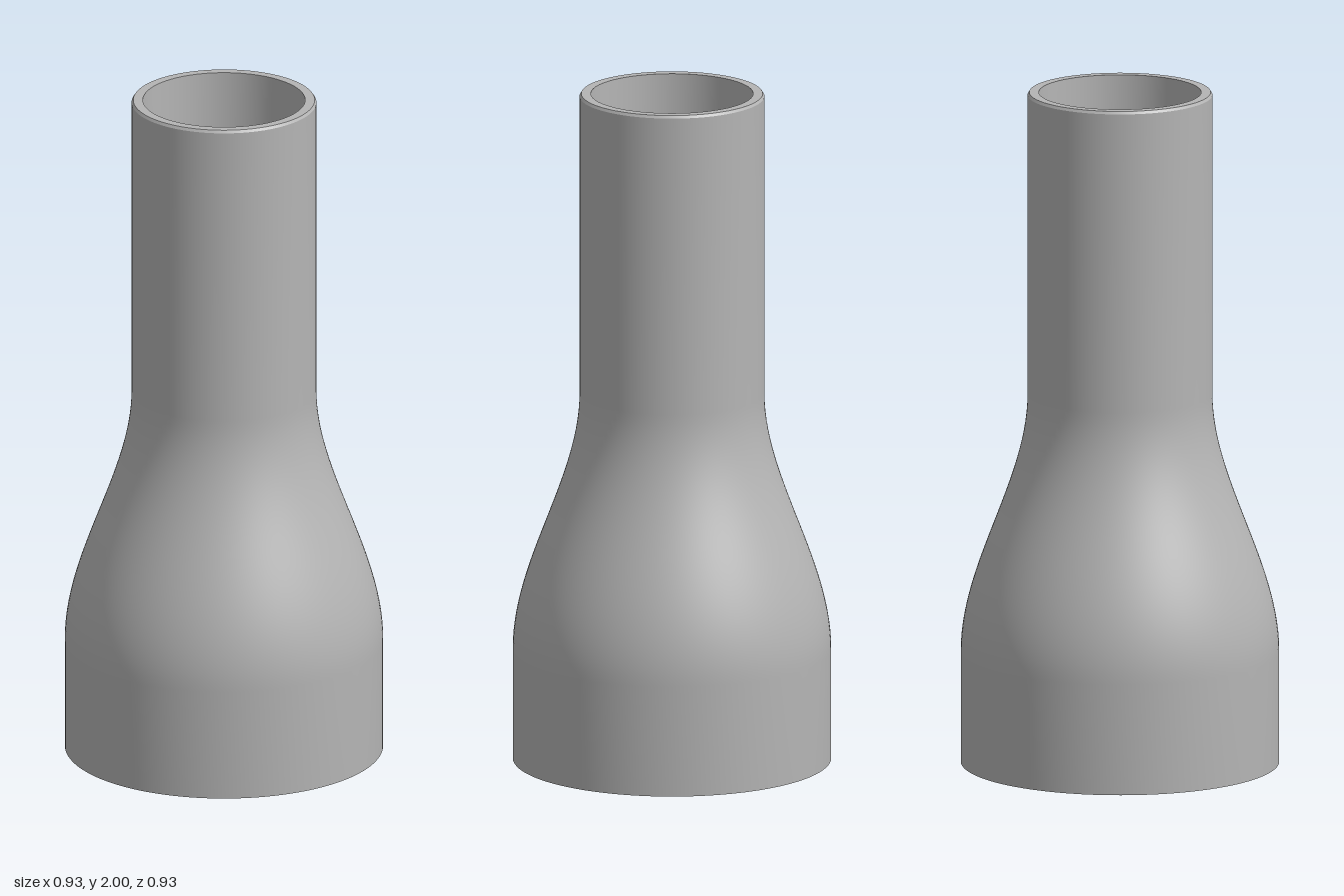
import * as THREE from 'three';
import { toCreasedNormals } from 'three/addons/utils/BufferGeometryUtils.js';

const OUTER = 0.465, BORE = 0.41, SLOT = 0.445;   // radii of the wide end
const LIP = 0.14, DEPTH = 0.24, BEVEL = 0.012;    // heights of the locking slots
const deg = THREE.MathUtils.degToRad;
const v = (x, y) => new THREE.Vector2(x, y);

export function createModel() {
  const model = new THREE.Group();
  model.name = 'hoseAdapter';
  const grey = new THREE.MeshStandardMaterial({ color: 0xb4b4b4, side: THREE.DoubleSide });
  grey.name = 'grey plastic';

  const add = (name, geometry) => {
    const mesh = new THREE.Mesh(geometry, grey);
    mesh.name = name;
    model.add(mesh);
    return mesh;
  };
  // Revolve a profile through an arc given in degrees, keeping corners sharp
  const revolve = (name, points, from = 0, to = 360) => add(name, toCreasedNormals(
    new THREE.LatheGeometry(points, Math.max(6, Math.round((to - from) / 3)), deg(from), deg(to - from)), 0.45));
  // S-shaped transition between two radii
  const shoulder = (r0, y0, r1, y1) => {
    const k = (y1 - y0) * 0.34;
    return new THREE.CubicBezierCurve(v(r0, y0), v(r0, y0 + k), v(r1, y1 - k), v(r1, y1)).getPoints(28);
  };

  // Hollow body: outside upwards, over the top rim, then down the bore
  revolve('body', [
    v(OUTER, 0),
    ...shoulder(OUTER, 0.33, 0.27, 1.1),
    v(0.27, 1.992), v(0.265, 2), v(0.237, 2),
    ...shoulder(BORE, 0.33, 0.222, 1.1).reverse(),
    v(BORE, DEPTH),
  ]);

  // Bottom socket with two opposite L-shaped locking slots
  const top = v(BORE, DEPTH), rim = v(OUTER, 0);
  const lip = [v(BORE, BEVEL), v(BORE + BEVEL, 0)];
  const entry = [top, v(SLOT, DEPTH), v(SLOT, 0), rim];
  const channel = [top, v(SLOT, DEPTH), v(SLOT, LIP), v(BORE, LIP), ...lip, rim];
  const plain = [top, ...lip, rim];

  for (const turn of [0, 180]) {
    revolve('slotEntry', entry, 78 + turn, 90 + turn);
    revolve('slotChannel', channel, 90 + turn, 111 + turn);
    revolve('socketWall', plain, 111 + turn, 258 + turn);

    // Radial end faces of the slot
    const endFace = (angle, points) => {
      const face = add('slotEnd', new THREE.ShapeGeometry(new THREE.Shape(points)));
      face.rotation.y = deg(angle + turn - 90);
    };
    endFace(78, [...lip, v(SLOT, 0), v(SLOT, DEPTH), top]);
    endFace(90, [...lip, v(SLOT, 0), v(SLOT, LIP), v(BORE, LIP)]);
    endFace(111, [v(BORE, LIP), v(SLOT, LIP), v(SLOT, DEPTH), top]);
  }
  return model;
}
